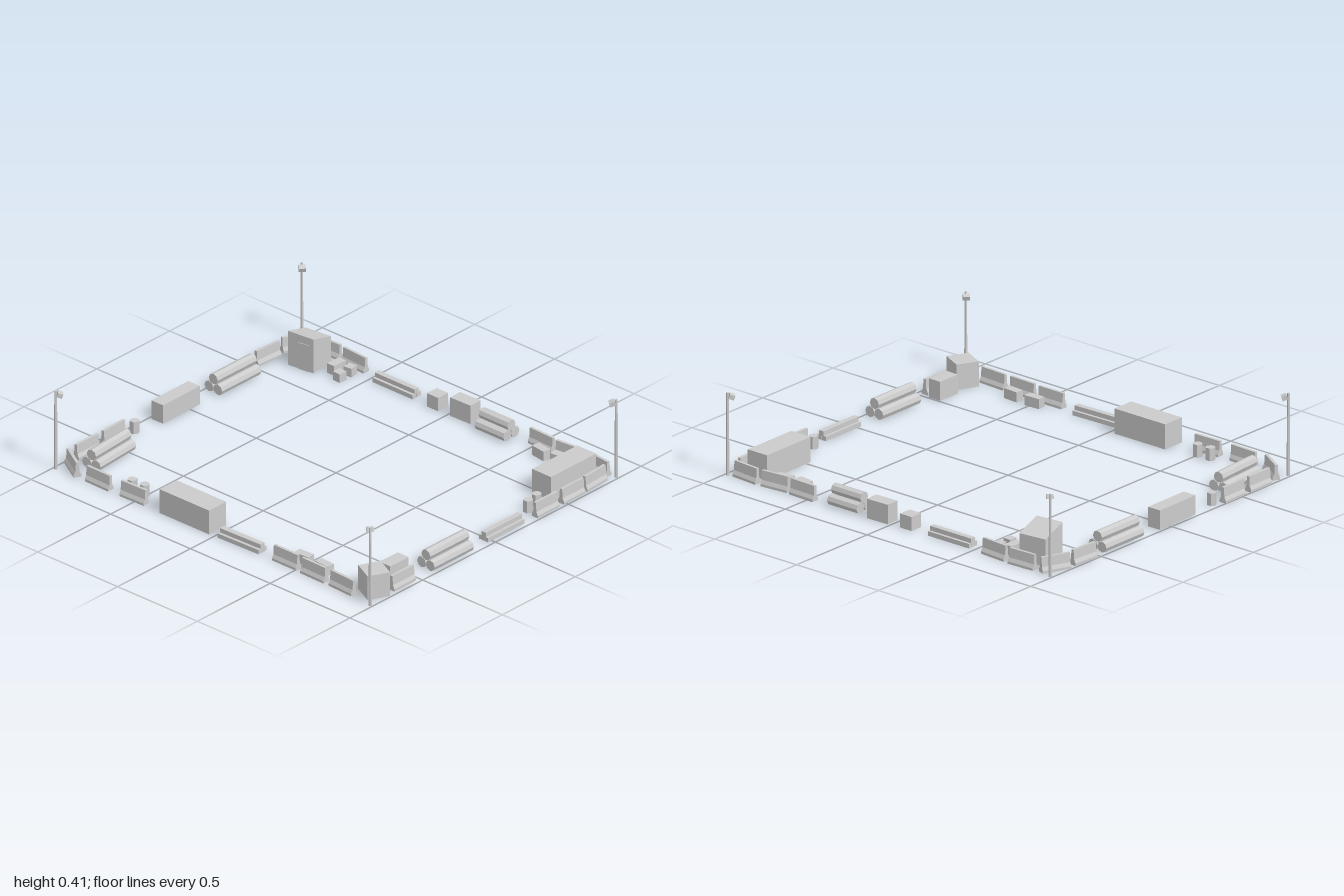
import * as THREE from 'three';

const H = Math.PI / 2;

export function createModel() {
  const model = new THREE.Group();
  const mat = new THREE.MeshStandardMaterial({ color: 0xcccccc, flatShading: true });

  const add = (name, geo, x, y, z, rot = 0, parent = model) => {
    const m = new THREE.Mesh(geo, mat);
    m.name = name;
    m.position.set(x, y, z);
    m.rotation.y = rot;
    parent.add(m);
    return m;
  };
  const group = (name, x, z, rot = 0) => {
    const g = new THREE.Group();
    g.name = name;
    g.position.set(x, 0, z);
    g.rotation.y = rot;
    model.add(g);
    return g;
  };
  // extrude an outline and centre it along its length
  const extrude = (pts, length) => {
    const shape = new THREE.Shape(pts.map(([x, y]) => new THREE.Vector2(x, y)));
    return new THREE.ExtrudeGeometry(shape, { depth: length, bevelEnabled: false }).translate(0, 0, -length / 2);
  };

  // concrete road barriers: x, z, turn
  const barrierGeo = extrude([
    [-0.019, 0], [0.019, 0], [0.019, 0.012], [0.01, 0.03], [0.007, 0.077],
    [-0.007, 0.077], [-0.01, 0.03], [-0.019, 0.012],
  ], 0.148).rotateY(H);
  [
    [-0.805, -0.83, 0.04], [-0.63, -0.822, -0.07], [0.535, -0.83, -0.03],
    [0.705, -0.83, 0.09], [0.88, -0.833, -0.09],
    [-0.95, -0.768, 1.176], [-0.975, -0.595, H - 0.06], [-0.98, 0.457, H + 0.03],
    [-0.98, 0.64, H], [-0.92, 0.8, -0.54],
    [0.963, -0.72, H + 0.06], [0.97, -0.557, H], [0.97, -0.377, H], [0.96, 0.597, H],
    [-0.73, 0.827, -0.02], [-0.515, 0.822, 0.03], [0.43, 0.81, 0], [0.61, 0.815, -0.02],
    [0.79, 0.818, -0.05],
  ].forEach(([x, z, r]) => add('roadBarrier', barrierGeo, x, 0, z, r));

  // containers and crates: name, x, z, width, height, depth, turn
  [
    ['container', -0.185, 0.78, 0.31, 0.125, 0.118, 0],
    ['container', 0.86, -0.625, 0.118, 0.125, 0.31, 0],
    ['largeCrate', 0.915, 0.74, 0.12, 0.125, 0.112, -0.46],
    ['crate', 0.885, 0.57, 0.068, 0.095, 0.125, -0.02],
    ['crate', -0.95, 0.06, 0.072, 0.097, 0.255, 0.01],
    ['crate', 0.078, -0.803, 0.125, 0.097, 0.07, 0.03],
    ['crate', -0.09, -0.795, 0.07, 0.07, 0.068, 0],
    ['smallCrate', -0.665, -0.732, 0.045, 0.05, 0.08, -0.03],
    ['smallCrate', -0.598, -0.753, 0.044, 0.045, 0.044, 0.1],
    ['smallCrate', -0.598, -0.68, 0.044, 0.045, 0.044, -0.06],
    ['smallCrate', 0.595, -0.757, 0.082, 0.05, 0.042, -0.14],
    ['smallCrate', 0.702, -0.768, 0.082, 0.05, 0.042, 0.1],
    ['smallCrate', 0.48, 0.745, 0.085, 0.05, 0.042, 0.04],
    ['smallCrate', 0.61, 0.747, 0.082, 0.05, 0.042, -0.07],
  ].forEach(([name, x, z, w, h, d, r]) => add(name, new THREE.BoxGeometry(w, h, d), x, h / 2, z, r));

  // pyramid pipe stacks: x, z, length, turn
  const R = 0.0275;
  [
    [-0.943, -0.325, 0.27, H], [0.938, 0.275, 0.27, H],
    [-0.87, 0.605, 0.265, H + 0.07], [0.288, -0.79, 0.18, 0],
  ].forEach(([x, z, len, r]) => {
    const stack = group('pipeStack', x, z, r);
    const pipe = new THREE.CylinderGeometry(R, R, len, 8).rotateZ(H);
    [[-R, R], [R, R], [0, R * 2.7]].forEach(([dz, y]) => add('pipe', pipe, 0, y, dz, 0, stack));
  });

  // low beam piles: x, z, turn
  const beam = new THREE.BoxGeometry(0.25, 0.0225, 0.028);
  [[-0.345, -0.795, 0], [0.145, 0.803, 0.03], [0.948, -0.1, H]].forEach(([x, z, r]) => {
    const pile = group('beamPile', x, z, r);
    [[-0.0145, 0.01125], [0.0145, 0.01125], [0, 0.03375]].forEach(([dz, y]) => add('beam', beam, 0, y, dz, 0, pile));
  });

  // barrels
  const barrel = new THREE.CylinderGeometry(0.024, 0.024, 0.062, 6);
  [[-0.58, 0.763], [-0.505, 0.76], [-0.957, 0.335], [0.898, -0.395], [0.908, -0.325]]
    .forEach(([x, z]) => add('barrel', barrel, x, 0.031, z, H));

  // guard booth with a single-pitch roof and a door
  const booth = group('guardBooth', -0.81, -0.705, 0.11);
  add('boothBody', extrude([[-0.07, 0], [0.07, 0], [0.07, 0.135], [-0.07, 0.178]], 0.146).rotateY(H), 0, 0, 0, 0, booth);
  add('boothDoor', new THREE.BoxGeometry(0.062, 0.138, 0.004), 0.018, 0.069, 0.071, 0, booth);

  // corner floodlights facing the centre
  const pole = new THREE.CylinderGeometry(0.0065, 0.0085, 0.41, 6);
  const head = new THREE.BoxGeometry(0.034, 0.022, 0.026).rotateX(0.35);
  for (const sx of [-1, 1]) for (const sz of [-1, 1]) {
    const light = group('floodlight', sx * 0.986, sz * 0.845, Math.atan2(-sx, -sz));
    add('lightPole', pole, 0, 0.205, 0, 0, light);
    add('lampHead', head, 0, 0.39, 0.019, 0, light);
  }
  return model;
}
